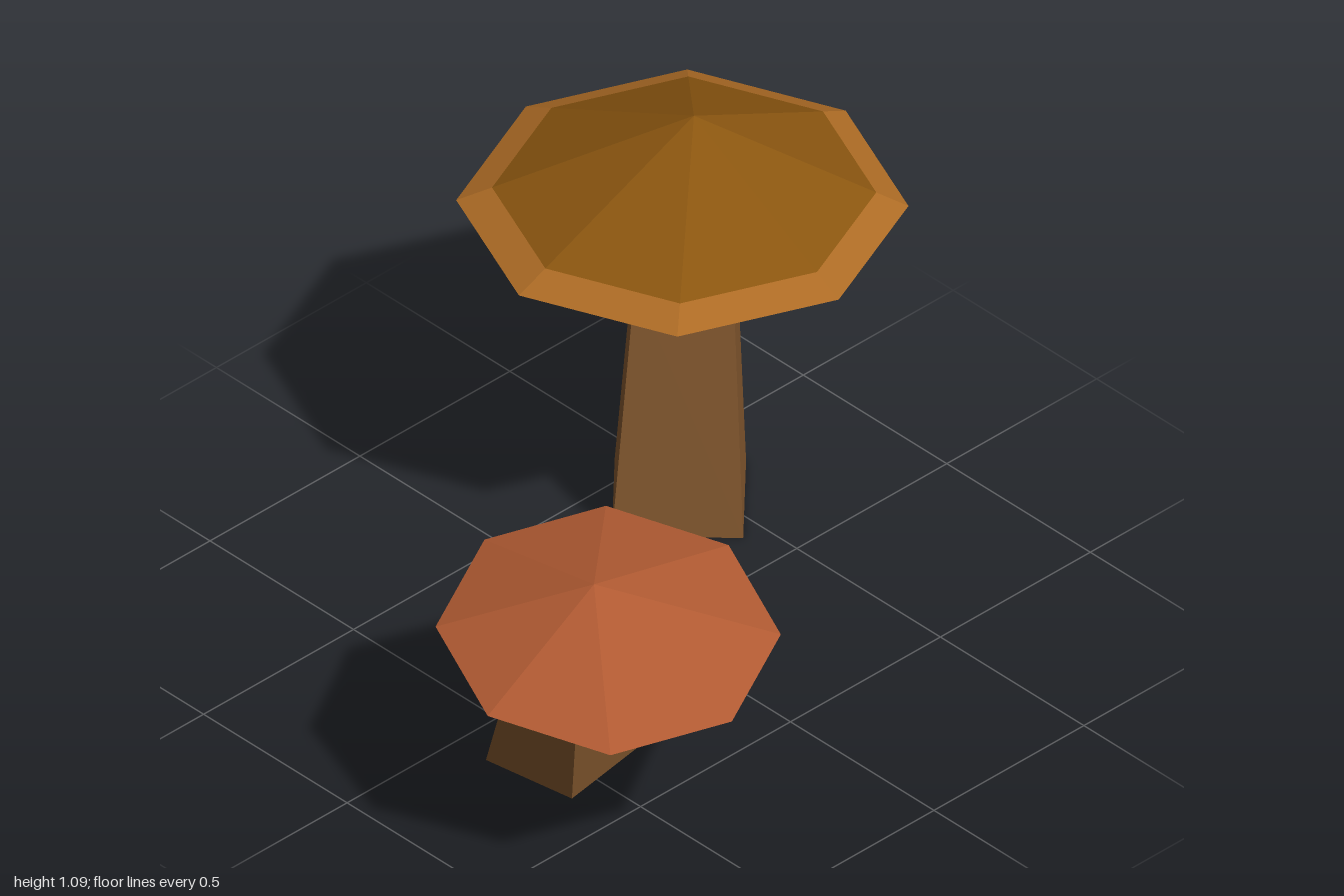
import * as THREE from 'three';

const rustCap = new THREE.MeshStandardMaterial({ color: 0xb05a32, side: THREE.DoubleSide, flatShading: true });
const ochreCap = new THREE.MeshStandardMaterial({ color: 0x8b5610, side: THREE.DoubleSide, flatShading: true });
const ochreRim = new THREE.MeshStandardMaterial({ color: 0xae6c25, side: THREE.DoubleSide, flatShading: true });
const stemBrown = new THREE.MeshStandardMaterial({ color: 0x85592f, flatShading: true });

// Regular polygon around a centre, tilted by slopes along x and z
function ring(sides, [cx, cy, cz], radius, degrees = 0, slopeX = 0, slopeZ = 0) {
  return Array.from({ length: sides }, (_, i) => {
    const a = THREE.MathUtils.degToRad(degrees) + (i / sides) * Math.PI * 2;
    const dx = Math.cos(a) * radius, dz = Math.sin(a) * radius;
    return [cx + dx, cy + dx * slopeX + dz * slopeZ, cz + dz];
  });
}

// Side faces from a lower ring to an upper ring
function band(low, up) {
  return low.flatMap((p, i) => {
    const j = (i + 1) % low.length;
    return [p, up[i], up[j], p, up[j], low[j]];
  });
}

// Triangles from a ring to one point, facing up
function cone(low, apex) {
  return low.flatMap((p, i) => [p, apex, low[(i + 1) % low.length]]);
}

// Closed four-sided stem
function stem(low, up) {
  return [
    ...band(low, up),
    low[0], low[1], low[2], low[0], low[2], low[3],
    up[0], up[2], up[1], up[0], up[3], up[2],
  ];
}

function part(name, points, material) {
  const geometry = new THREE.BufferGeometry();
  geometry.setAttribute('position', new THREE.Float32BufferAttribute(points.flat(), 3));
  geometry.computeVertexNormals();
  const mesh = new THREE.Mesh(geometry, material);
  mesh.name = name;
  return mesh;
}

export function createModel() {
  const model = new THREE.Group();
  model.name = 'mushrooms';

  // Large mushroom: upright stem, wide hollow cap with a lighter rim
  const large = new THREE.Group();
  large.name = 'largeMushroom';
  const rim = ring(8, [0.453, 0.87, -0.35], 0.545);
  const inner = ring(8, [0.462, 0.903, -0.353], 0.463);
  large.add(
    part('largeStem', stem(
      ring(4, [0.436, 0, -0.344], 0.224),
      ring(4, [0.462, 0.706, -0.349], 0.168, 0, -0.03, -0.03)), stemBrown),
    part('largeCapRim', band(rim, inner), ochreRim),
    part('largeCap', cone(inner, [0.508, 1.094, -0.367]), ochreCap));

  // Small mushroom: leaning stem and tilted hollow cap
  const small = new THREE.Group();
  small.name = 'smallMushroom';
  small.add(
    part('smallStem', stem(
      ring(4, [-0.5, 0.012, 0.225], 0.184, 36),
      ring(4, [-0.602, 0.411, 0.362], 0.138, 36, -0.02, 0)), stemBrown),
    part('smallCap', cone(
      ring(8, [-0.584, 0.555, 0.475], 0.416, -2, 0.084, -0.145),
      [-0.64, 0.726, 0.484]), rustCap));

  model.add(large, small);
  return model;
}
